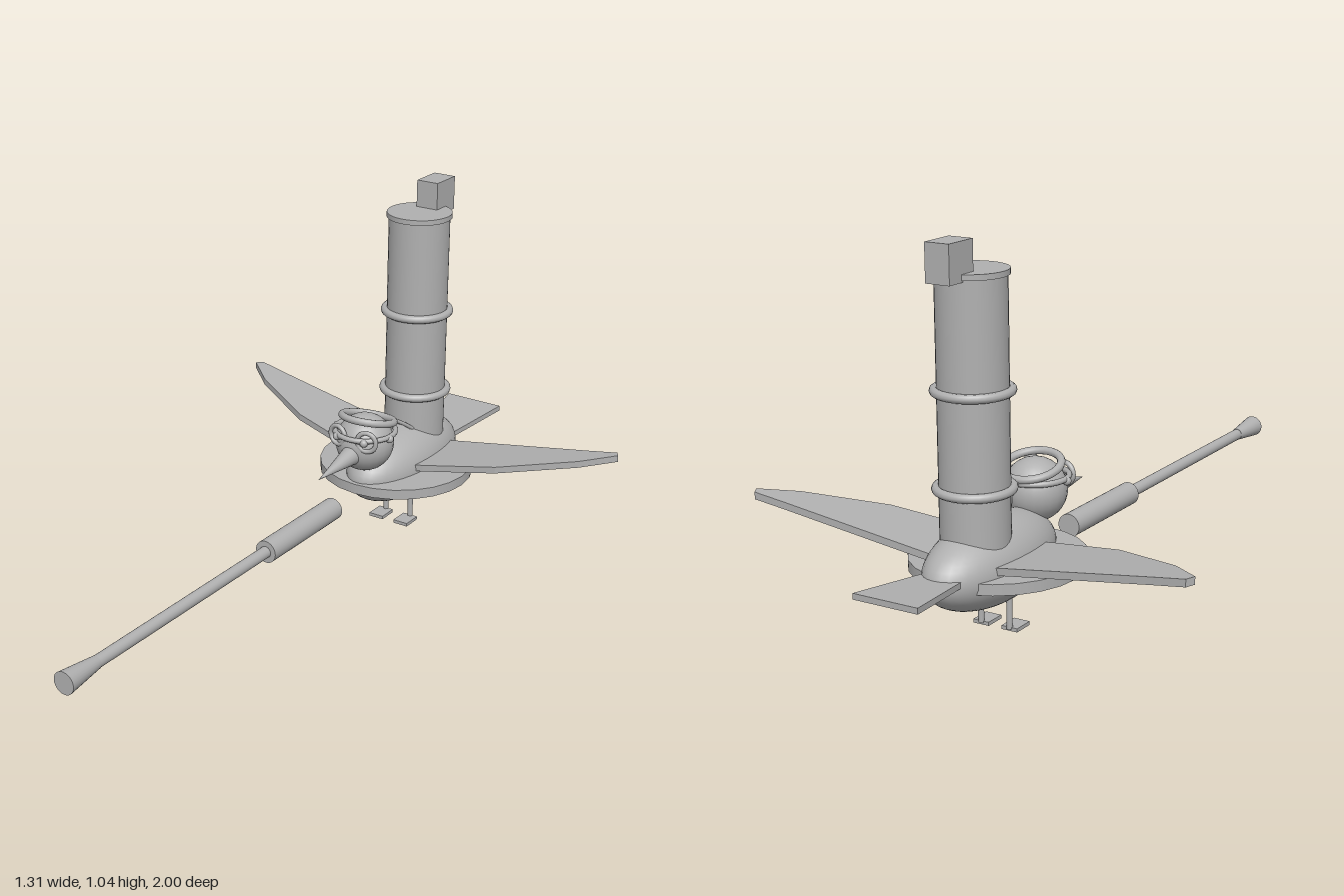
import * as THREE from 'three';

export function createModel() {
  const root = new THREE.Group();
  const grey = new THREE.MeshStandardMaterial({ color: 0xb0b0b0 });
  grey.name = 'plain grey';

  const add = (name, geo, x = 0, y = 0, z = 0, rx = 0, ry = 0) => {
    const m = new THREE.Mesh(geo, grey);
    m.name = name;
    m.position.set(x, y, z);
    m.rotation.set(rx, ry, 0);
    root.add(m);
    return m;
  };
  const H = Math.PI / 2;
  const cyl = (r1, r2, h, n = 32) => new THREE.CylinderGeometry(r1, r2, h, n);
  const ball = (r) => new THREE.SphereGeometry(r, 24, 16);
  const ring = (r, t) => new THREE.TorusGeometry(r, t, 10, 36);

  // flat plate outlined by [x, z] points, raised along y by a rule
  const plate = (pts, thick, rise) => {
    const shape = new THREE.Shape(pts.map(([x, z]) => new THREE.Vector2(x, -z)));
    const g = new THREE.ExtrudeGeometry(shape, { depth: thick, bevelEnabled: false });
    g.rotateX(-H);
    const p = g.attributes.position;
    for (let i = 0; i < p.count; i++) p.setY(i, p.getY(i) + rise(p.getX(i), p.getZ(i)));
    g.computeVertexNormals();
    return g;
  };

  // body and the flat disc around it
  add('body', new THREE.SphereGeometry(1, 40, 28), 0, 0.195, -0.555).scale.set(0.12, 0.115, 0.255);
  add('disc', cyl(0.233, 0.233, 0.03, 24), 0, 0.185, -0.52);

  // tall drum on the back
  add('drum', cyl(0.091, 0.091, 0.7), 0, 0.6, -0.62);
  add('drumCap', cyl(0.097, 0.097, 0.015), 0, 0.952, -0.62);
  for (const y of [0.403, 0.655]) add('drumBand', ring(0.097, 0.012), 0, y, -0.62, H);
  add('topBlock', new THREE.BoxGeometry(0.07, 0.1, 0.1), 0, 0.99, -0.71);

  // head and beak
  add('head', ball(0.087), 0, 0.322, -0.34);
  add('beak', new THREE.ConeGeometry(0.03, 0.17, 20), 0, 0.296, -0.18, H + 0.09);

  // goggles, strap and cap rim
  add('goggleStrap', ring(0.09, 0.008), 0, 0.36, -0.34, H);
  add('capRim', ring(0.078, 0.011), 0, 0.391, -0.355, H - 0.25);
  add('goggleBridge', cyl(0.006, 0.006, 0.1, 12), 0, 0.355, -0.258).rotation.z = H;

  for (const s of [1, -1]) {
    add('goggleRim', ring(0.029, 0.007), s * 0.05, 0.355, -0.27, 0, s * 0.2);
    add('eye', ball(0.012), s * 0.047, 0.355, -0.26);
    add('strapStud', ball(0.012), s * 0.092, 0.355, -0.33);

    // strap ends trailing over the back
    const path = new THREE.CatmullRomCurve3([
      new THREE.Vector3(s * 0.004, 0.37, -0.425),
      new THREE.Vector3(s * 0.012, 0.35, -0.47),
      new THREE.Vector3(s * 0.03, 0.325, -0.51),
      new THREE.Vector3(s * 0.045, 0.295, -0.55),
    ]);
    add('strapTail', new THREE.TubeGeometry(path, 16, 0.006, 8));

    // wing, swept back and rising to the tip
    const outline = [
      [0.03, -0.45], [0.13, -0.46], [0.35, -0.505], [0.565, -0.615],
      [0.655, -0.69], [0.642, -0.712], [0.55, -0.705], [0.03, -0.675],
    ].map(([x, z]) => [s * x, z]);
    add('wing', plate(outline, 0.02, (x) => 0.208 + 0.157 * (Math.abs(x) - 0.11)));

    // leg and foot
    add('leg', cyl(0.008, 0.008, 0.1, 12), s * 0.044, 0.055, -0.538);
    add('foot', new THREE.BoxGeometry(0.048, 0.01, 0.06), s * 0.044, 0.005, -0.51);
  }

  // tail widening to the back
  const tail = [[0.055, -0.75], [0.063, -0.8], [0.095, -1], [-0.095, -1], [-0.063, -0.8], [-0.055, -0.75]];
  add('tail', plate(tail, 0.016, (x, z) => 0.198 + 0.08 * (-z - 0.8)));

  // long rod in front: grip, shaft and flared end
  add('rodGrip', cyl(0.033, 0.033, 0.335), 0, 0.168, -0.003, H);
  add('rodShaft', cyl(0.017, 0.017, 0.75, 24), 0, 0.168, 0.52, H);
  add('rodFlare', cyl(0.032, 0.018, 0.12, 24), 0, 0.168, 0.94, H);

  return root;
}
